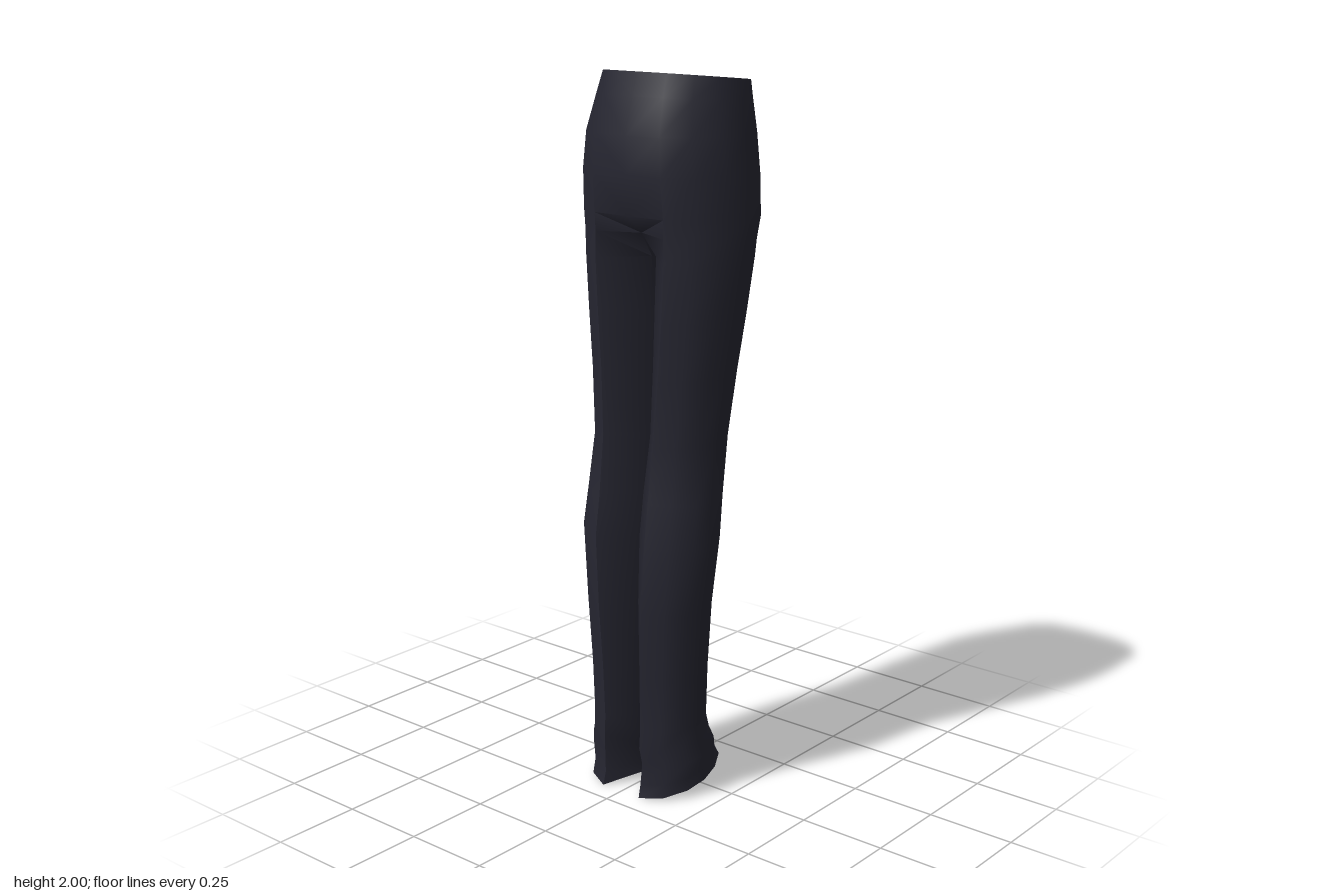
import * as THREE from 'three';
import { toCreasedNormals } from 'three/addons/utils/BufferGeometryUtils.js';

const { lerp, clamp, degToRad } = THREE.MathUtils;

// Half outlines from front centre, round the outside, to back centre: [across 0..1, depth -1..1]
const HIP = [[0, 1], [0.42, 0.99], [0.74, 0.73], [0.93, 0.3], [1, -0.12], [0.97, -0.45], [0.82, -0.74], [0.6, -0.91], [0.3, -0.98], [0, -1]];
const LEG = [[0, 0.35], [0.35, 1], [0.7, 0.8], [0.93, 0.4], [1, 0], [0.95, -0.4], [0.8, -0.76], [0.52, -1], [0.2, -0.86], [0, -0.4]];

// Section sizes from waist to hem: y, outer x, front z, back z
const ROWS = [
  [1.985, 0.21, 0.105, -0.19],
  [1.93, 0.222, 0.125, -0.19],
  [1.84, 0.243, 0.153, -0.19],
  [1.74, 0.257, 0.156, -0.19],
  [1.63, 0.263, 0.147, -0.183],
  [1.58, 0.26, 0.144, -0.179],
  [1.51, 0.255, 0.143, -0.172],
  [1.36, 0.24, 0.143, -0.152],
  [1.2, 0.22, 0.144, -0.131],
  [1.02, 0.2, 0.152, -0.112],
  [0.86, 0.208, 0.172, -0.084],
  [0.74, 0.215, 0.188, -0.065],
  [0.55, 0.196, 0.19, -0.049],
  [0.36, 0.182, 0.183, -0.045],
  [0.21, 0.176, 0.18, -0.045],
  [0.16, 0.176, 0.184, -0.06],
  [0.12, 0.191, 0.177, -0.068],
  [0.07, 0.181, 0.18, -0.085],
  [0.04, 0.186, 0.19, -0.103],
];

// 0 in the hips, 1 in the legs, blending at the crotch
const legShare = (y) => clamp((1.63 - y) / 0.1, 0, 1);

function section([y, outer, front, back]) {
  const share = legShare(y);
  // A narrow gap between the thighs, and a front crease that drifts inward
  const inner = share < 1 ? 0 : y > 0.9 ? 0.007 : 0.001;
  const crease = lerp(0.35, 0.45, clamp(y / 1.4, 0, 1));
  // The hem slopes down to the front, the waist down to the back
  const tilt = 0.05 * Math.max(0, 1 - y / 0.2) - 0.13 * Math.max(0, y - 1.87);
  return HIP.map(([hipU, hipV], i) => {
    const u = i === 1 ? crease : lerp(hipU, LEG[i][0], share);
    const v = lerp(hipV, LEG[i][1], share);
    return [lerp(inner, outer, u), y - tilt * v, (front + back) / 2 + v * (front - back) / 2];
  });
}

// One side's triangles; side = 1 for the left, -1 for its mirror image
function addHalf(out, side) {
  const rings = ROWS.map(section);
  const n = HIP.length;
  const tri = (a, b, c) => {
    for (const p of side > 0 ? [a, b, c] : [a, c, b]) out.push(p[0] * side, p[1], p[2]);
  };
  for (let r = 0; r < rings.length - 1; r++) {
    const top = rings[r], low = rings[r + 1];
    // The inner leg wall exists only below the crotch
    const count = legShare(ROWS[r + 1][0]) > 0 ? n : n - 1;
    for (let i = 0; i < count; i++) {
      const j = (i + 1) % n;
      tri(top[i], low[i], top[j]);
      tri(top[j], low[i], low[j]);
    }
  }
  // Waist and hem closures
  const waist = rings[0], hem = rings[rings.length - 1];
  for (let i = 1; i < n - 1; i++) {
    tri(waist[0], waist[i], waist[i + 1]);
    tri(hem[0], hem[i + 1], hem[i]);
  }
}

export function createModel() {
  const group = new THREE.Group();
  group.name = 'trousers';
  const cloth = new THREE.MeshStandardMaterial({ color: 0x262631 });
  cloth.name = 'dark navy cloth';

  const positions = [];
  addHalf(positions, 1);
  addHalf(positions, -1);
  const geometry = new THREE.BufferGeometry();
  geometry.setAttribute('position', new THREE.Float32BufferAttribute(positions, 3));

  const mesh = new THREE.Mesh(toCreasedNormals(geometry, degToRad(48)), cloth);
  mesh.name = 'trouserLegsAndHips';
  group.add(mesh);
  return group;
}
